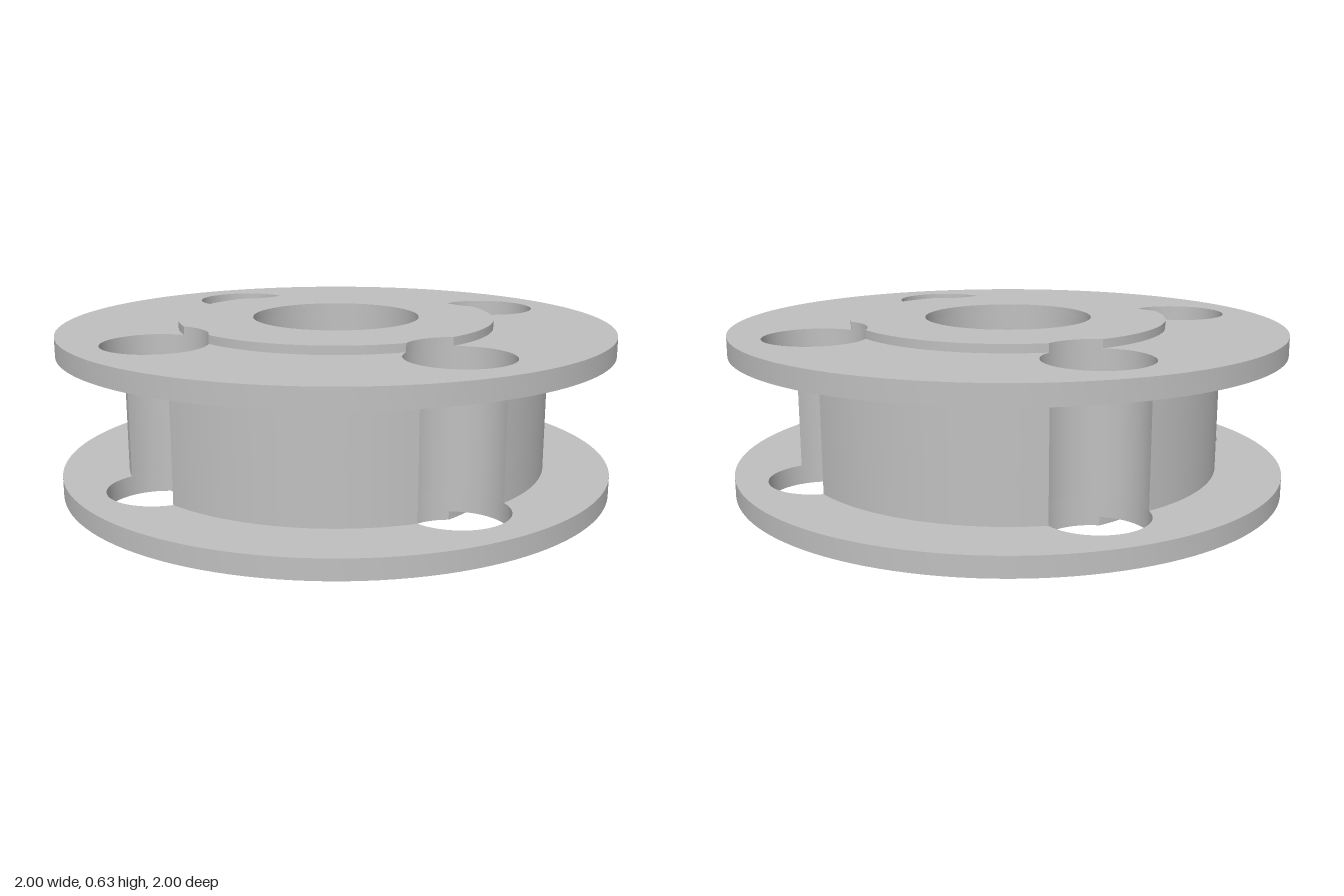
import * as THREE from 'three';
import { toCreasedNormals } from 'three/addons/utils/BufferGeometryUtils.js';

const BORE = 0.302;               // central bore radius
const HOLE = 0.18;                // bolt hole radius
const OFFSET = 0.505;             // bolt hole centre in x and z
const DIST = OFFSET * Math.SQRT2; // bolt hole distance from the axis

// Points along an arc, end point left out
function arc(cx, cy, r, from, to, n) {
  return Array.from({ length: n }, (_, i) => {
    const a = from + ((to - from) * i) / n;
    return new THREE.Vector2(cx + r * Math.cos(a), cy + r * Math.sin(a));
  });
}

function circlePath(x, y, r) {
  return new THREE.Path(arc(x, y, r, 0, Math.PI * 2, 64));
}

// Disc whose rim is scooped by the four bolt holes
function notchedDisc(radius) {
  const d = Math.acos((radius ** 2 + DIST ** 2 - HOLE ** 2) / (2 * radius * DIST));
  const phi = Math.atan2(radius * Math.sin(d), radius * Math.cos(d) - DIST);
  const pts = [];
  for (let k = 0; k < 4; k++) {
    const a = Math.PI / 4 + (k * Math.PI) / 2;
    pts.push(...arc(DIST * Math.cos(a), DIST * Math.sin(a), HOLE, a - phi, a + phi - Math.PI * 2, 36));
    pts.push(...arc(0, 0, radius, a + d, a + Math.PI / 2 - d, 32));
  }
  return new THREE.Shape(pts);
}

// Full disc with four bolt holes
function drilledDisc(radius) {
  const shape = new THREE.Shape(arc(0, 0, radius, 0, Math.PI * 2, 128));
  for (const sx of [-1, 1])
    for (const sy of [-1, 1]) shape.holes.push(circlePath(sx * OFFSET, sy * OFFSET, HOLE));
  return shape;
}

export function createModel() {
  const group = new THREE.Group();
  const material = new THREE.MeshStandardMaterial({ color: 0xc0c0c0 });
  material.name = 'light grey';

  // Upright slab from y0 to y1 with the central bore cut through
  function addLayer(name, shape, y0, y1) {
    shape.holes.push(circlePath(0, 0, BORE));
    const geometry = new THREE.ExtrudeGeometry(shape, { depth: y1 - y0, bevelEnabled: false });
    geometry.rotateX(-Math.PI / 2);
    geometry.translate(0, y0, 0);
    const mesh = new THREE.Mesh(toCreasedNormals(geometry, Math.PI / 6), material);
    mesh.name = name;
    group.add(mesh);
  }

  addLayer('lowerHubFace', notchedDisc(0.57), 0, 0.03);
  addLayer('lowerFlange', drilledDisc(1), 0.03, 0.1);
  addLayer('core', notchedDisc(0.766), 0.1, 0.533);
  addLayer('upperFlange', drilledDisc(1), 0.533, 0.603);
  addLayer('upperHubFace', notchedDisc(0.57), 0.603, 0.633);
  return group;
}
